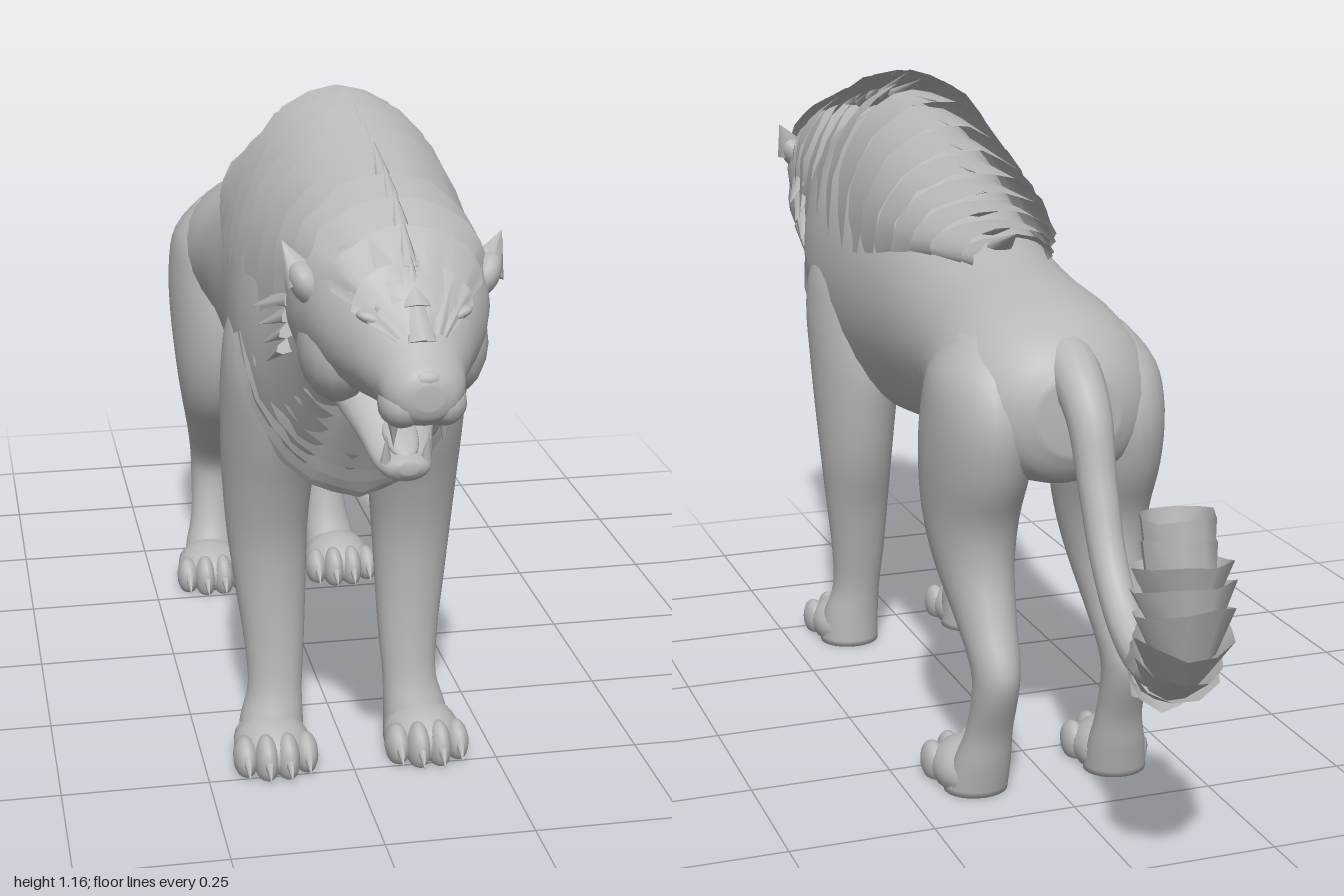
import * as THREE from 'three';

const fur = new THREE.MeshStandardMaterial({ color: 0xb8b8b8, side: THREE.DoubleSide });
fur.name = 'grey fur';

let seed = 7;
const rand = () => (seed = (seed * 16807) % 2147483647) / 2147483647;

// Smooth interpolation through a table of rings, t in 0..1
function sample(table, t) {
  const n = table.length - 1, f = Math.min(t * n, n - 1e-6), i = Math.floor(f), u = f - i;
  const at = k => table[Math.max(0, Math.min(n, k))];
  const [a, b, c, d] = [at(i - 1), at(i), at(i + 1), at(i + 2)];
  return b.map((_, k) => b[k] + 0.5 * u * (c[k] - a[k] + u * (2 * a[k] - 5 * b[k] + 4 * c[k] - d[k]
    + u * (3 * (b[k] - c[k]) + d[k] - a[k]))));
}

function indexed(points, faces) {
  const g = new THREE.BufferGeometry();
  g.setAttribute('position', new THREE.Float32BufferAttribute(points.flat(), 3));
  g.setIndex(faces);
  g.computeVertexNormals();
  return g;
}

// Closed smooth skin over a table of rings
function loft(table, place, seg = 24, sub = 4) {
  const rows = (table.length - 1) * sub, pts = [], idx = [];
  for (let i = 0; i <= rows; i++) {
    const r = sample(table, i / rows);
    for (let j = 0; j < seg; j++) pts.push(place(r, j / seg * Math.PI * 2));
  }
  for (let i = 0; i < rows; i++) for (let j = 0; j < seg; j++) {
    const a = i * seg + j, b = i * seg + (j + 1) % seg;
    idx.push(a, b, a + seg, b, b + seg, a + seg);
  }
  for (const row of [0, rows]) {
    const mid = [0, 1, 2].map(k => {
      let s = 0;
      for (let j = 0; j < seg; j++) s += pts[row * seg + j][k];
      return s / seg;
    });
    const c = pts.push(mid) - 1;
    for (let j = 0; j < seg; j++) {
      const a = row * seg + j, b = row * seg + (j + 1) % seg;
      row ? idx.push(a, b, c) : idx.push(b, a, c);
    }
  }
  return indexed(pts, idx);
}

// Open sheet from an inner edge to an outer edge, smooth along its length
function sheet(cols, inner, outer) {
  const pts = [], idx = [];
  for (let j = 0; j <= cols; j++) pts.push(inner(j / cols, j), outer(j / cols, j));
  for (let j = 0; j < cols; j++) {
    const a = 2 * j;
    idx.push(a, a + 1, a + 2, a + 1, a + 3, a + 2);
  }
  return indexed(pts, idx);
}

const alongZ = ([z, y, rx, ry], a) => [rx * Math.cos(a), y + ry * Math.sin(a), z];
const bodyRing = ([z, lo, hi, rx], a) =>
  [rx * Math.cos(a), (lo + hi) / 2 + (hi - lo) / 2 * Math.sin(a), z];

export function createModel() {
  const model = new THREE.Group();
  const add = (name, geo, parent = model) => {
    const m = new THREE.Mesh(geo, fur);
    m.name = name;
    parent.add(m);
    return m;
  };
  const ball = (name, p, s, parent) => {
    const m = add(name, new THREE.SphereGeometry(1, 16, 10), parent);
    m.position.set(...p);
    m.scale.set(...s);
    return m;
  };
  // Cone from a base point to a tip
  const spike = (name, from, to, r, parent, flat = 1) => {
    const a = new THREE.Vector3(...from), d = new THREE.Vector3(...to).sub(a);
    const g = new THREE.ConeGeometry(r, d.length(), 8);
    g.translate(0, d.length() / 2, 0).scale(1, 1, flat);
    const m = add(name, g, parent);
    m.position.copy(a);
    m.quaternion.setFromUnitVectors(new THREE.Vector3(0, 1, 0), d.normalize());
    return m;
  };

  // Torso and neck: z, bottom, top, half width
  add('torso', loft([
    [-0.5, 0.62, 0.75, 0.07], [-0.47, 0.57, 0.795, 0.125], [-0.4, 0.55, 0.84, 0.17],
    [-0.3, 0.55, 0.868, 0.182], [-0.16, 0.56, 0.893, 0.168], [0, 0.54, 0.94, 0.167],
    [0.15, 0.515, 1, 0.173], [0.28, 0.5, 1.06, 0.185], [0.41, 0.49, 1.09, 0.192],
    [0.5, 0.51, 1.07, 0.183], [0.58, 0.58, 1.05, 0.158], [0.65, 0.67, 1.03, 0.14],
    [0.72, 0.75, 1.02, 0.125]], bodyRing, 32));

  // Head and muzzle: z, centre y, half width, half height
  const head = new THREE.Group();
  head.name = 'head';
  model.add(head);
  add('skull', loft([
    [0.6, 0.9, 0.14, 0.14], [0.7, 0.9, 0.15, 0.15], [0.78, 0.91, 0.14, 0.135],
    [0.84, 0.9, 0.12, 0.115], [0.89, 0.885, 0.092, 0.094], [0.93, 0.86, 0.068, 0.068],
    [0.965, 0.845, 0.058, 0.052], [0.987, 0.843, 0.042, 0.036], [0.995, 0.843, 0.02, 0.018]],
  alongZ, 28), head);
  add('lowerJaw', loft([
    [0.64, 0.8, 0.11, 0.08], [0.71, 0.765, 0.085, 0.055], [0.78, 0.722, 0.058, 0.035],
    [0.83, 0.694, 0.045, 0.024], [0.863, 0.69, 0.034, 0.02], [0.878, 0.695, 0.014, 0.01]],
  alongZ, 20), head);
  ball('tongue', [0, 0.727, 0.81], [0.027, 0.012, 0.06], head).rotation.x = 0.4;
  ball('nose', [0, 0.868, 0.976], [0.028, 0.015, 0.018], head);
  for (const s of [-1, 1]) {
    ball('whiskerPad', [s * 0.03, 0.823, 0.948], [0.034, 0.035, 0.042], head);
    ball('brow', [s * 0.052, 0.93, 0.893], [0.034, 0.011, 0.018], head).rotation.z = s * 0.3;
    ball('eye', [s * 0.058, 0.908, 0.902], [0.014, 0.009, 0.01], head);
    ball('cheek', [s * 0.085, 0.85, 0.75], [0.058, 0.085, 0.09], head);
    spike('upperFang', [s * 0.038, 0.802, 0.936], [s * 0.036, 0.75, 0.93], 0.011, head);
    spike('lowerFang', [s * 0.03, 0.7, 0.855], [s * 0.032, 0.745, 0.866], 0.009, head);
    // Pointed ear leaning outward
    ball('ear', [s * 0.132, 0.95, 0.765], [0.024, 0.038, 0.035], head).rotation.z = -s * 0.5;
    spike('earTip', [s * 0.135, 0.955, 0.765], [s * 0.165, 1.012, 0.745], 0.032, head, 0.7);
    for (let i = 0; i < 4; i++)
      spike('cheekFur', [s * 0.135, 0.91 - i * 0.03, 0.68 - i * 0.01],
        [s * (0.185 - i * 0.008), 0.87 - i * 0.035, 0.6 - i * 0.012], 0.028, head, 0.4);
  }

  // Legs: y, x, z, half width, half depth, with paw position
  const legs = {
    frontLeg: { paw: 0.44, rings: [
      [0.86, 0.1, 0.39, 0.05, 0.05], [0.78, 0.108, 0.39, 0.085, 0.11], [0.7, 0.115, 0.39, 0.09, 0.135],
      [0.6, 0.12, 0.37, 0.085, 0.13], [0.5, 0.125, 0.355, 0.077, 0.105], [0.4, 0.126, 0.35, 0.069, 0.08],
      [0.3, 0.122, 0.362, 0.061, 0.058], [0.2, 0.118, 0.375, 0.052, 0.046],
      [0.12, 0.119, 0.388, 0.047, 0.042], [0.06, 0.127, 0.4, 0.055, 0.05], [0, 0.13, 0.405, 0.058, 0.055]] },
    hindLeg: { paw: -0.33, rings: [
      [0.8, 0.1, -0.33, 0.045, 0.06], [0.74, 0.108, -0.335, 0.084, 0.12], [0.66, 0.114, -0.335, 0.091, 0.148],
      [0.57, 0.118, -0.322, 0.087, 0.145], [0.48, 0.12, -0.308, 0.078, 0.118],
      [0.4, 0.12, -0.325, 0.066, 0.096], [0.32, 0.118, -0.375, 0.052, 0.072],
      [0.25, 0.117, -0.422, 0.042, 0.056], [0.2, 0.118, -0.43, 0.039, 0.046],
      [0.12, 0.12, -0.405, 0.041, 0.037], [0.06, 0.125, -0.385, 0.05, 0.044], [0, 0.13, -0.365, 0.056, 0.05]] },
  };
  for (const s of [-1, 1]) for (const [name, { paw, rings }] of Object.entries(legs)) {
    const leg = new THREE.Group();
    leg.name = name;
    model.add(leg);
    add('limb', loft(rings, ([y, x, z, rx, rz], a) =>
      [s * x + rx * Math.cos(a), y, z + rz * Math.sin(a)]), leg);
    const lump = (part, x, y, z, rx, ry, rz) => {
      const g = new THREE.SphereGeometry(1, 16, 12).scale(rx, ry, rz).translate(x, y, z);
      const p = g.attributes.position;
      for (let i = 0; i < p.count; i++) p.setY(i, Math.max(0, p.getY(i)));
      g.computeVertexNormals();
      add(part, g, leg);
    };
    lump('paw', s * 0.132, 0.03, paw - 0.008, 0.066, 0.052, 0.08);
    [-0.052, -0.018, 0.018, 0.052].forEach((dx, i) => {
      const x = s * 0.132 + dx, z = paw + (i % 3 ? 0.048 : 0.034);
      lump('toe', x, 0.028, z, 0.021, i % 3 ? 0.044 : 0.036, 0.038);
      spike('claw', [x, 0.04, z + 0.024], [x, 0.01, z + 0.054], 0.011, leg);
    });
  }

  // Tail, swept in the middle plane
  const path = new THREE.CatmullRomCurve3([[0.77, -0.41], [0.755, -0.47], [0.7, -0.537], [0.59, -0.58],
    [0.48, -0.63], [0.4, -0.7], [0.365, -0.78], [0.385, -0.865], [0.46, -0.91], [0.55, -0.895],
    [0.64, -0.88]].map(([y, z]) => new THREE.Vector3(0, y, z)));
  const tailPoint = (t, r, a) => {
    const c = path.getPointAt(t), d = path.getTangentAt(t);
    return [r * Math.cos(a), c.y + d.z * r * Math.sin(a), c.z - d.y * r * Math.sin(a)];
  };
  add('tail', loft([[0, 0.05], [0.1, 0.042], [0.25, 0.033], [0.45, 0.029], [0.65, 0.03], [0.85, 0.03],
    [0.97, 0.025]], ([t, r], a) => tailPoint(t, r, a), 14, 8));
  for (let i = 0; i < 10; i++) {
    const t = 0.6 + i * 0.037, r = 0.03 + 0.028 * Math.sin(Math.min(1, i / 5) * Math.PI / 2);
    const jag = Array.from({ length: 10 }, () => rand());
    add('tailTuft', sheet(10, u => tailPoint(t, r * 0.92, u * Math.PI * 2),
      (u, j) => tailPoint(Math.min(1, t + 0.052 + 0.014 * jag[j % 10]),
        r + (i > 7 ? 0 : 0.014 + 0.014 * jag[j % 10]), u * Math.PI * 2)));
  }

  // Mane: overlapping ragged arches; z, base y, half width, top
  const mane = [[0.94, 0.91, 0.04, 0.925], [0.88, 0.945, 0.082, 0.99], [0.8, 0.965, 0.118, 1.045],
    [0.7, 0.93, 0.143, 1.075], [0.58, 0.86, 0.16, 1.1], [0.46, 0.84, 0.17, 1.12], [0.34, 0.84, 0.172, 1.12],
    [0.22, 0.845, 0.165, 1.07], [0.1, 0.86, 0.153, 1.015], [0, 0.88, 0.135, 0.968],
    [-0.09, 0.885, 0.105, 0.93], [-0.18, 0.88, 0.06, 0.905]];
  const arch = ([z, y, rx, top], a, grow, dz) =>
    [(rx + grow) * Math.sin(a), y + (top - y + grow) * Math.cos(a), z + dz];
  for (let i = 0; i < 17; i++) {
    const t = i / 17, front = sample(mane, t), rear = sample(mane, Math.min(1, t + 0.085));
    const rise = i > 4 ? 0.02 : 0.008;
    add('maneLayer', sheet(14, u => arch(front, (u - 0.5) * 3.2, -0.004, 0),
      (u, j) => arch(rear, (u - 0.5) * 3.2, 0.006 + rise * Math.sin(u * Math.PI) + 0.006 * rand(),
        (j % 2 ? -0.014 : 0.006) * rand() - 0.02 * Math.sin(u * Math.PI))));
    // Tuft standing along the crest
    spike('crestTuft', [0, front[3] - 0.02, front[0]], [0, rear[3] + 0.03, rear[0] - 0.03], 0.025, model, 0.6);
  }

  // Chest ruff: ragged bibs under the throat; z, upper y, half width, bottom y
  const bib = [[0.71, 0.86, 0.125, 0.735], [0.66, 0.845, 0.145, 0.68], [0.6, 0.82, 0.167, 0.61],
    [0.55, 0.79, 0.186, 0.55], [0.5, 0.77, 0.194, 0.51]];
  const sling = ([z, y, rx, lo], a, grow, dz) => [(rx + grow) * Math.sin(a),
    y - (y - lo + grow) * Math.cos(a), z + dz - 0.09 * (1 - Math.cos(a))];
  for (let i = 0; i < 7; i++) {
    const front = sample(bib, i / 8), rear = sample(bib, Math.min(1, i / 8 + 0.2));
    add('chestRuff', sheet(14, u => sling(front, (u - 0.5) * 3.1, -0.004, 0),
      (u, j) => sling(rear, (u - 0.5) * 3.1, 0.003 + 0.005 * rand(), j % 2 ? 0.014 : 0.005)));
  }
  return model;
}
